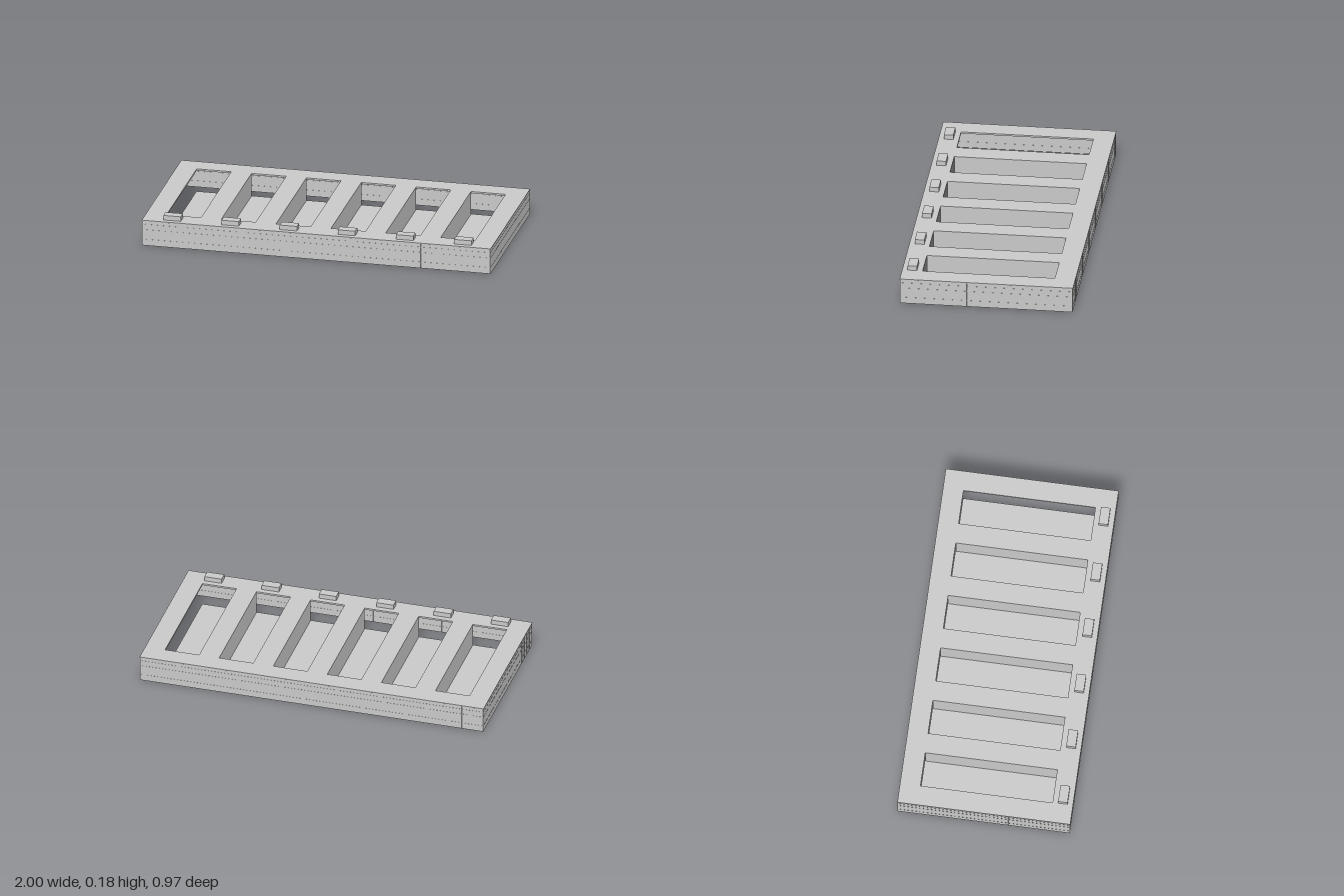
import * as THREE from 'three';

const grey = new THREE.MeshStandardMaterial({ name: 'concreteGrey', color: 0xc8c8c8 });

const W = 1, D = 0.487, H = 0.15;      // half width, half depth, roof height
const PITCH = 0.3145, OPEN = 0.198;    // skylight spacing and width

function box(parent, name, size, pos) {
  const mesh = new THREE.Mesh(new THREE.BoxGeometry(...size), grey);
  mesh.name = name;
  mesh.position.set(...pos);
  parent.add(mesh);
}

function rect(path, x0, x1, y0, y1) {
  path.moveTo(x0, y0);
  path.lineTo(x1, y0);
  path.lineTo(x1, y1);
  path.lineTo(x0, y1);
  path.closePath();
  return path;
}

// Horizontal plate with a row of six skylight openings
function slab(name, hw, hd, top, thickness) {
  const shape = rect(new THREE.Shape(), -hw, hw, -hd, hd);
  for (let i = 0; i < 6; i++) {
    const c = (i - 2.5) * PITCH;
    shape.holes.push(rect(new THREE.Path(), c - OPEN / 2, c + OPEN / 2, -0.372, 0.372));
  }
  const geo = new THREE.ExtrudeGeometry(shape, { depth: thickness, bevelEnabled: false });
  geo.rotateX(-Math.PI / 2);
  geo.translate(0, top - thickness, 0);
  const mesh = new THREE.Mesh(geo, grey);
  mesh.name = name;
  return mesh;
}

// Thin wall with rails and posts standing slightly proud on both faces
function wall(name, length) {
  const g = new THREE.Group();
  g.name = name;
  const h = H - 0.004;
  box(g, 'wallPanel', [length, h, 0.004], [0, h / 2, 0]);
  for (const y of [0.036, 0.093, 0.125]) {
    box(g, 'wallRail', [length, 0.003, 0.006], [0, y, 0]);
  }
  const n = Math.round(length / 0.025);
  for (let i = 0; i <= n; i++) {
    const x = (i / n - 0.5) * (length - 0.004);
    box(g, 'wallPost', [0.003, h - 0.004, 0.005], [x, h / 2, 0]);
  }
  return g;
}

export function createModel() {
  const model = new THREE.Group();
  model.name = 'lowHallBuilding';

  // Roof: thin overhanging sheet over a slightly smaller deck
  model.add(slab('roofSheet', W, D, H, 0.004));
  model.add(slab('roofDeck', W - 0.006, D - 0.006, H - 0.004, 0.006));

  // Outer walls
  for (const s of [-1, 1]) {
    const long = wall(s > 0 ? 'frontWall' : 'backWall', 2 * W - 0.004);
    long.position.z = s * (D - 0.0045);
    model.add(long);
    const end = wall(s > 0 ? 'leftWall' : 'rightWall', 2 * D - 0.004);
    end.rotation.y = Math.PI / 2;
    end.position.x = s * (W - 0.0045);
    model.add(end);
  }

  // Inner floor beneath the skylights
  box(model, 'floor', [1.774, 0.014, 0.75], [0, 0.008, 0]);

  // Solid dividers between neighbouring skylights, from floor to roof
  for (let i = 0; i < 5; i++) {
    box(model, 'divider', [PITCH - OPEN, H - 0.025, 0.744], [(i - 2) * PITCH, 0.0775, 0]);
  }

  // Row of small roof units along the front edge
  for (let i = 0; i < 6; i++) {
    box(model, 'roofUnit', [0.1, 0.027, 0.053], [(i - 2.5) / 3, H + 0.0135, 0.43]);
  }
  return model;
}
